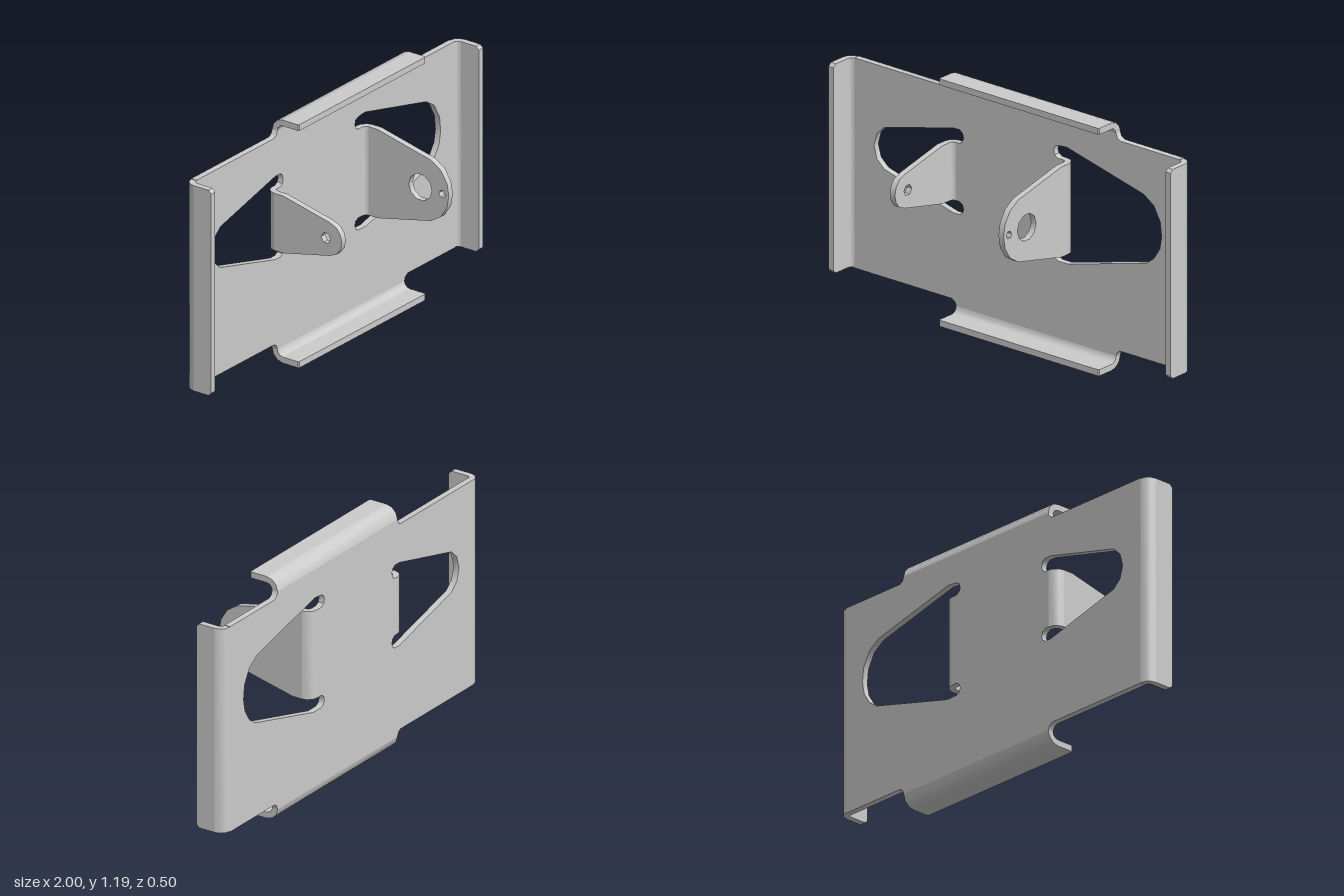
import * as THREE from 'three';
import { toCreasedNormals } from 'three/addons/utils/BufferGeometryUtils.js';

const T = 0.03;      // sheet thickness
const R = 0.05;      // outer bend radius
const BACK = -0.25;  // z of the sheet's back face
const MID = 0.595;   // height of the plate's centre
const material = new THREE.MeshStandardMaterial({ color: 0xcccccc });

const toPoints = (list) => list.map(([x, y]) => new THREE.Vector2(x, y));

function extrude(name, shape, depth) {
  const geometry = new THREE.ExtrudeGeometry(shape, { depth, bevelEnabled: false });
  const mesh = new THREE.Mesh(toCreasedNormals(geometry, 0.7), material);
  mesh.name = name;
  return mesh;
}

function roundHole(x, y, r, sides) {
  const points = [];
  for (let i = 0; i < sides; i++) {
    const a = (i / sides) * Math.PI * 2 + Math.PI / 2;
    points.push(new THREE.Vector2(x + r * Math.cos(a), y + r * Math.sin(a)));
  }
  return new THREE.Path(points);
}

// A 90 degree bend plus the flat leaf after it.
// Local axes: x = outward along the plate, y = forward, z = along the bend.
// half: [half width, distance forward] down one edge of the leaf, mirrored for the other.
function fold(name, [ux, uy], position, radius, half, holes = []) {
  const group = new THREE.Group();
  group.name = name;

  const length = half[0][0] * 2;
  const section = new THREE.Shape();
  const steps = 3;
  const arc = [];
  for (let i = 0; i <= steps; i++) {
    const a = -Math.PI / 2 + (i / steps) * Math.PI / 2;
    arc.push([radius * Math.cos(a), radius + radius * Math.sin(a)]);
  }
  for (let i = steps; i >= 0; i--) {
    const a = -Math.PI / 2 + (i / steps) * Math.PI / 2;
    arc.push([(radius - T) * Math.cos(a), radius + (radius - T) * Math.sin(a)]);
  }
  section.setFromPoints(toPoints(arc));
  const bend = extrude(name + 'Bend', section, length);
  bend.position.z = -length / 2;

  const mirrored = half.filter(([v]) => v > 0).map(([v, w]) => [-v, w]).reverse();
  const outline = new THREE.Shape(toPoints([...half, ...mirrored]));
  outline.holes.push(...holes.map(([w, r, sides]) => roundHole(0, w, r, sides)));
  const leaf = extrude(name + 'Leaf', outline, T);
  leaf.rotation.y = -Math.PI / 2;
  leaf.position.x = radius;

  group.add(bend, leaf);
  const u = new THREE.Vector3(ux, uy, 0);
  const w = new THREE.Vector3(0, 0, 1);
  const v = new THREE.Vector3().crossVectors(u, w);
  group.setRotationFromMatrix(new THREE.Matrix4().makeBasis(u, w, v));
  group.position.set(position[0], position[1], BACK);
  return group;
}

// Rim leaf with small chamfered corners
const rim = (halfWidth, radius, c) => [
  [halfWidth, radius], [halfWidth, 0.15 - c], [halfWidth - c, 0.15],
];

export function createModel() {
  const model = new THREE.Group();
  model.name = 'bracket';

  // Back plate with a wider middle neck above and below
  const upper = [
    [0.95, 1.1], [0.605, 1.1], [0.588, 1.11], [0.58, 1.13],
    [-0.355, 1.13], [-0.363, 1.11], [-0.38, 1.1], [-0.95, 1.1],
  ];
  const lower = upper.map(([x, y]) => [x, 2 * MID - y]).reverse();
  const plate = new THREE.Shape(toPoints([...upper, ...lower]));

  // Tapered windows, with relief slots beside each tab
  const windows = [
    [
      [0.29, 0.99], [0.74, 0.88], [0.80, 0.84], [0.838, 0.77], [0.846, 0.70],
      [0.835, 0.64], [0.80, 0.585], [0.755, 0.552], [0.30, 0.43], [0.24, 0.43],
      [0.221, 0.442], [0.215, 0.46], [0.221, 0.48], [0.24, 0.49], [0.27, 0.49],
      [0.27, 0.924], [0.24, 0.924], [0.221, 0.936], [0.215, 0.955], [0.221, 0.975], [0.24, 0.985],
    ],
    [
      [-0.37, 0.912], [-0.775, 0.81], [-0.818, 0.77], [-0.835, 0.708], [-0.818, 0.648],
      [-0.775, 0.61], [-0.37, 0.504], [-0.335, 0.504], [-0.318, 0.515], [-0.312, 0.535],
      [-0.318, 0.555], [-0.335, 0.567], [-0.355, 0.567], [-0.355, 0.847], [-0.335, 0.847],
      [-0.318, 0.858], [-0.312, 0.878], [-0.318, 0.9], [-0.335, 0.912],
    ],
  ];
  plate.holes.push(...windows.map((w) => new THREE.Path(toPoints(w))));
  const backPlate = extrude('backPlate', plate, T);
  backPlate.position.z = BACK;
  model.add(backPlate);

  // Rims folded forward on all four edges
  for (const s of [1, -1]) {
    model.add(fold(s > 0 ? 'leftRim' : 'rightRim', [s, 0], [s * 0.95, MID], R, rim(0.5025, R, 0.015)));
    model.add(fold(s > 0 ? 'topRim' : 'bottomRim', [0, s], [0.1125, MID + s * 0.535], 0.06, rim(0.4675, 0.06, 0.005)));
  }

  // Large tab with a wide pivot hole and a small pin hole
  model.add(fold('largeTab', [1, 0], [0.27, 0.707], R, [
    [0.217, R], [0.217, 0.1], [0.149, 0.40], [0.114, 0.455], [0.059, 0.49], [0, 0.5],
  ], [[0.34, 0.065, 10], [0.463, 0.019, 6]]));

  // Small tab with a narrow pivot hole
  model.add(fold('smallTab', [-1, 0], [-0.355, 0.707], R, [
    [0.14, R], [0.14, 0.1], [0.082, 0.36], [0.065, 0.4], [0.035, 0.422], [0, 0.43],
  ], [[0.34, 0.027, 6]]));

  return model;
}
